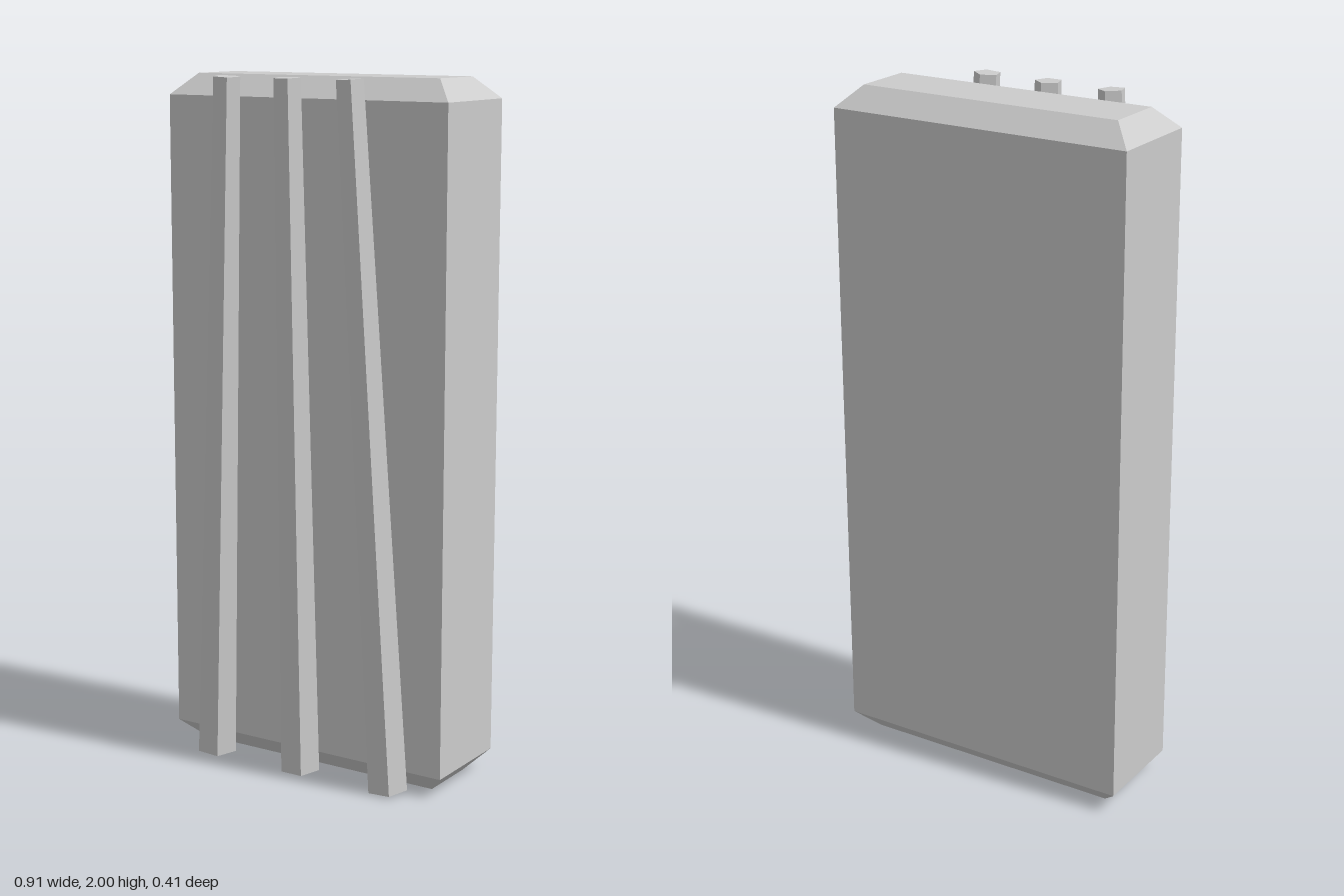
import * as THREE from 'three';

const material = new THREE.MeshStandardMaterial({ color: 0xcccccc, flatShading: true });

// Upright slab with chamfered top and bottom rims
function makeSlab() {
  const w = 0.397, back = 0.145, front = -0.033, c = 0.06;
  const shape = new THREE.Shape([
    new THREE.Vector2(-w, front), new THREE.Vector2(w, front),
    new THREE.Vector2(w, back), new THREE.Vector2(-w, back),
  ]);
  const geo = new THREE.ExtrudeGeometry(shape, {
    depth: 2 - 2 * c, bevelEnabled: true, bevelSegments: 1, bevelSize: c, bevelThickness: c,
  });
  geo.rotateX(-Math.PI / 2).translate(0, c, 0);
  const slab = new THREE.Mesh(geo, material);
  slab.name = 'slab';
  return slab;
}

// Tapered five-sided bar leaning from its bottom to its top centre
function makeBar(name, bottom, top) {
  const dir = top.clone().sub(bottom);
  const geo = new THREE.CylinderGeometry(0.039, 0.058, dir.length(), 5, 1, false, Math.PI);
  const bar = new THREE.Mesh(geo, material);
  bar.name = name;
  bar.position.copy(bottom).add(top).multiplyScalar(0.5);
  bar.quaternion.setFromUnitVectors(new THREE.Vector3(0, 1, 0), dir.normalize());
  return bar;
}

export function createModel() {
  const group = new THREE.Group();
  group.name = 'slabWithBars';
  group.add(makeSlab());

  // Three bars fanning out downwards across the front
  [['rightBar', -1], ['middleBar', 0], ['leftBar', 1]].forEach(([name, s]) => {
    group.add(makeBar(name,
      new THREE.Vector3(s * 0.298, 0.005, 0.115),
      new THREE.Vector3(s * 0.2, 1.998, 0.171)));
  });
  return group;
}
